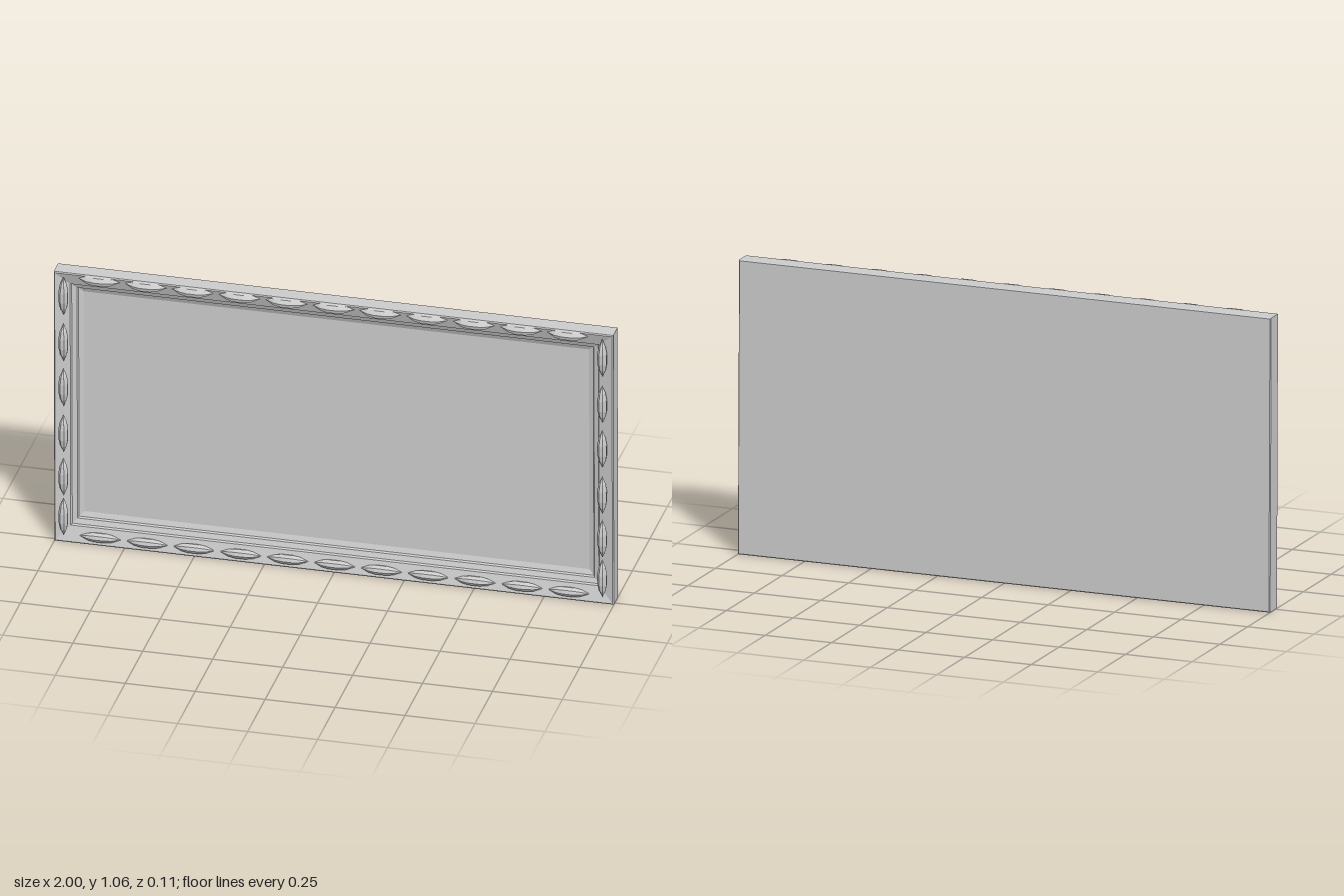
import * as THREE from 'three';

const W = 2, H = 1.056, LEAN = 0.01;
const material = new THREE.MeshStandardMaterial({ color: 0xcccccc, flatShading: true });

// Rectangular loop inset from the outer edge at depth z, leaning forward with height
function ring(inset, z) {
  const x = W / 2 - inset, lift = inset * 0.1;
  const low = inset + lift, high = H - inset + lift;
  return [[-x, low], [x, low], [x, high], [-x, high]]
    .map(([px, py]) => [px, py, z + LEAN * py / H]);
}

// Skin consecutive loops into a surface; optionally cap the last or first one
function skin(rings, cap) {
  const index = [];
  for (let r = 0; r < rings.length - 1; r++) {
    for (let i = 0; i < 4; i++) {
      const a = r * 4 + i, b = r * 4 + (i + 1) % 4;
      index.push(a, b, b + 4, a, b + 4, a + 4);
    }
  }
  if (cap === 'front') index.push(0, 1, 2, 0, 2, 3);
  if (cap === 'back') index.push(0, 2, 1, 0, 3, 2);
  const geometry = new THREE.BufferGeometry();
  geometry.setAttribute('position', new THREE.Float32BufferAttribute(rings.flat(2), 3));
  geometry.setIndex(index);
  geometry.computeVertexNormals();
  return geometry;
}

// Faceted pointed boss, long axis y, flat on its back and domed towards +z
function bossGeometry() {
  const profile = [[0, -1], [0.74, -0.6], [1, -0.25], [1, 0.25], [0.74, 0.6], [0, 1]]
    .map(([r, y]) => new THREE.Vector2(r, y));
  const geometry = new THREE.LatheGeometry(profile, 8, Math.PI / 8);
  const p = geometry.attributes.position;
  for (let i = 0; i < p.count; i++) p.setZ(i, Math.max(0, p.getZ(i)));
  geometry.scale(0.0175, 0.075, 0.025);
  geometry.computeVertexNormals();
  return geometry;
}

export function createModel() {
  const model = new THREE.Group();
  const add = (name, geometry, parent = model) => {
    const mesh = new THREE.Mesh(geometry, material);
    mesh.name = name;
    parent.add(mesh);
    return mesh;
  };

  // Moulded frame: bevelled back, outer wall, sloping face, stepped inner lip
  const profile = [
    [0.003, -0.052], [0, -0.048], [0, 0.013], [0.004, 0.017],
    [0.055, 0], [0.059, -0.007], [0.076, -0.014], [0.08, -0.021], [0.097, -0.028],
  ];
  add('frame', skin(profile.map(([d, z]) => ring(d, z))));
  add('panel', skin([ring(0.097, -0.028)], 'front'));
  add('backing', skin([ring(0.003, -0.052)], 'back'));

  // Rows of bosses, those on the rails tilted inwards with the sloping face
  const boss = bossGeometry();
  const bosses = new THREE.Group();
  bosses.name = 'bosses';
  model.add(bosses);
  for (let i = 0; i < 11; i++) {
    const x = (i - 5) * 0.1675;
    for (const [name, y, z, tilt] of [['topBoss', 1.041, 0.024, 0.3], ['bottomBoss', 0.029, 0.009, -0.3]]) {
      const mesh = add(name, boss, bosses);
      mesh.rotation.set(tilt, 0, Math.PI / 2);
      mesh.position.set(x, y, z);
    }
  }
  for (const y of [0.107, 0.262, 0.432, 0.612, 0.787, 0.968]) {
    for (const side of [-1, 1]) {
      const mesh = add(side > 0 ? 'leftBoss' : 'rightBoss', boss, bosses);
      mesh.rotation.x = 0.03;
      mesh.position.set(side * 0.963, y, 0.03);
    }
  }
  return model;
}
